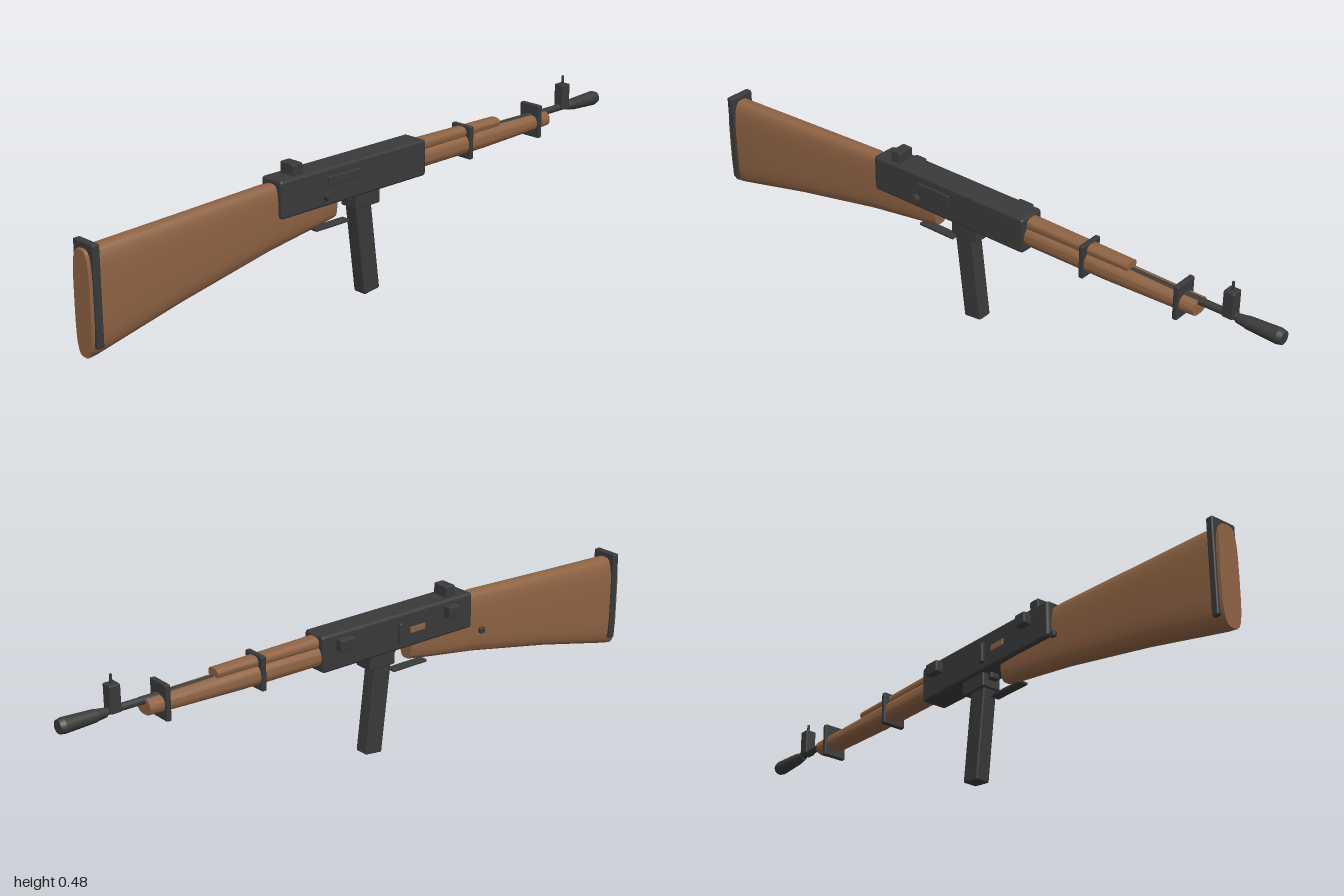
import * as THREE from 'three';
import { toCreasedNormals } from 'three/addons/utils/BufferGeometryUtils.js';
import { RoundedBoxGeometry } from 'three/addons/geometries/RoundedBoxGeometry.js';

const wood = new THREE.MeshStandardMaterial({ color: 0x8f6344 });
wood.name = 'wood';
const metal = new THREE.MeshStandardMaterial({ color: 0x3a3a3a });
metal.name = 'darkMetal';
const Z0 = 0.005; // centre plane of the body

export function createModel() {
  const model = new THREE.Group();
  model.name = 'rifle';

  function add(name, geometry, material, x = 0, y = 0, z = 0) {
    const mesh = new THREE.Mesh(geometry, material);
    mesh.name = name;
    mesh.position.set(x, y, z);
    model.add(mesh);
    return mesh;
  }

  // Box given by its limits on each axis
  function block(name, [x0, x1], [y0, y1], [z0, z1], material = metal, r = 0.004) {
    const size = [x1 - x0, y1 - y0, z1 - z0];
    const geo = new RoundedBoxGeometry(...size, 1, Math.min(r, Math.min(...size) * 0.4));
    return add(name, geo, material, (x0 + x1) / 2, (y0 + y1) / 2, (z0 + z1) / 2);
  }

  // Cylinder along x between two points, or along z when axis is 'z'
  function rod(name, a, b, r0, r1, y, axis = 'x', x = 0) {
    const geo = new THREE.CylinderGeometry(r1, r0, b - a, 20);
    if (axis === 'x') {
      geo.rotateZ(-Math.PI / 2);
      return add(name, geo, metal, (a + b) / 2, y, Z0);
    }
    geo.rotateX(Math.PI / 2);
    return add(name, geo, metal, x, y, (a + b) / 2);
  }

  // Superellipse sections [x, bottom, top, half width] joined along x
  function loft(name, sections, power) {
    const n = 32, pos = [], index = [];
    const curve = (v) => Math.sign(v) * Math.abs(v) ** (2 / power);
    for (const [x, y0, y1, w] of sections) {
      for (let j = 0; j < n; j++) {
        const t = (j / n) * Math.PI * 2;
        pos.push(x, (y0 + y1) / 2 + curve(Math.sin(t)) * (y1 - y0) / 2, Z0 + curve(Math.cos(t)) * w);
      }
    }
    const last = (sections.length - 1) * n, c = sections.length * n;
    for (const [x, y0, y1] of [sections[0], sections[sections.length - 1]]) pos.push(x, (y0 + y1) / 2, Z0);
    for (let j = 0; j < n; j++) {
      const k = (j + 1) % n;
      for (let i = 0; i < last; i += n) index.push(i + j, i + n + j, i + k, i + n + j, i + n + k, i + k);
      index.push(c, j, k, c + 1, last + k, last + j);
    }
    const geo = new THREE.BufferGeometry();
    geo.setAttribute('position', new THREE.Float32BufferAttribute(pos, 3));
    geo.setIndex(index);
    return add(name, toCreasedNormals(geo, 0.7), wood);
  }

  // Wooden stock and handguards
  loft('stock', [
    [-1, 0.095, 0.388, 0.034], [-0.97, 0.1, 0.39, 0.036], [-0.7, 0.163, 0.4, 0.034],
    [-0.4, 0.222, 0.413, 0.028], [-0.22, 0.25, 0.4, 0.028], [-0.15, 0.262, 0.39, 0.025],
  ], 3.5);
  loft('lowerHandguard', [
    [0.17, 0.33, 0.391, 0.034], [0.45, 0.331, 0.391, 0.034], [0.7, 0.339, 0.387, 0.032], [0.745, 0.341, 0.387, 0.031],
  ], 2.6);
  loft('upperHandguard', [[0.17, 0.38, 0.417, 0.024], [0.525, 0.384, 0.412, 0.021]], 2.8);

  // Metal bands around the wood
  block('buttBand', [-0.99, -0.968], [0.125, 0.405], [-0.037, 0.047]);
  block('middleBand', [0.376, 0.392], [0.317, 0.419], [-0.033, 0.043]);
  block('frontBand', [0.684, 0.7], [0.317, 0.421], [-0.033, 0.043]);

  // Receiver with chamfered edges
  block('receiver', [-0.37, 0.186], [0.314, 0.424], [-0.037, 0.047], metal, 0.009);
  block('leftSidePanel', [-0.2, -0.08], [0.372, 0.4], [0.044, 0.052]);
  block('rearSight', [-0.315, -0.28], [0.415, 0.457], [-0.022, 0.033]);
  rod('selectorPin', 0.04, 0.062, 0.013, 0.013, 0.346, 'z', -0.205);

  // Fittings on the far side
  block('frontLug', [0.09, 0.14], [0.374, 0.41], [-0.061, -0.03]);
  block('rearLug', [-0.3, -0.26], [0.374, 0.41], [-0.061, -0.03]);
  block('sidePort', [-0.185, -0.13], [0.358, 0.376], [-0.0405, -0.033], wood, 0.001);
  block('sideStop', [-0.1, -0.085], [0.335, 0.398], [-0.046, -0.03]);
  block('slingStud', [-0.412, -0.392], [0.292, 0.31], [-0.053, -0.04]);

  // Barrel, front sight and muzzle
  rod('barrel', 0.15, 0.9, 0.012, 0.0105, 0.381);
  rod('muzzleCollar', 0.86, 0.892, 0.013, 0.017, 0.379);
  rod('muzzle', 0.89, 0.985, 0.018, 0.0225, 0.379);
  rod('muzzleTip', 0.985, 1, 0.0225, 0.019, 0.379);
  block('frontSightBlock', [0.821, 0.855], [0.375, 0.455], [-0.013, 0.022]);
  block('frontSightPost', [0.836, 0.842], [0.45, 0.481], [0.001, 0.008], metal, 0.001);

  // Magazine and its housing
  block('magazineHousing', [-0.083, 0.01], [0.272, 0.32], [-0.027, 0.036]);
  block('magazineCatch', [-0.1, -0.08], [0.296, 0.318], [-0.01, 0.02]);
  const magazine = add('magazine', new RoundedBoxGeometry(0.06, 0.29, 0.046, 1, 0.005), metal, -0.03, 0.148, Z0);
  magazine.rotation.z = 0.125;

  // Trigger guard bar
  block('triggerGuard', [-0.22, -0.093], [0.236, 0.244], [-0.01, 0.02], metal, 0.002);

  return model;
}
